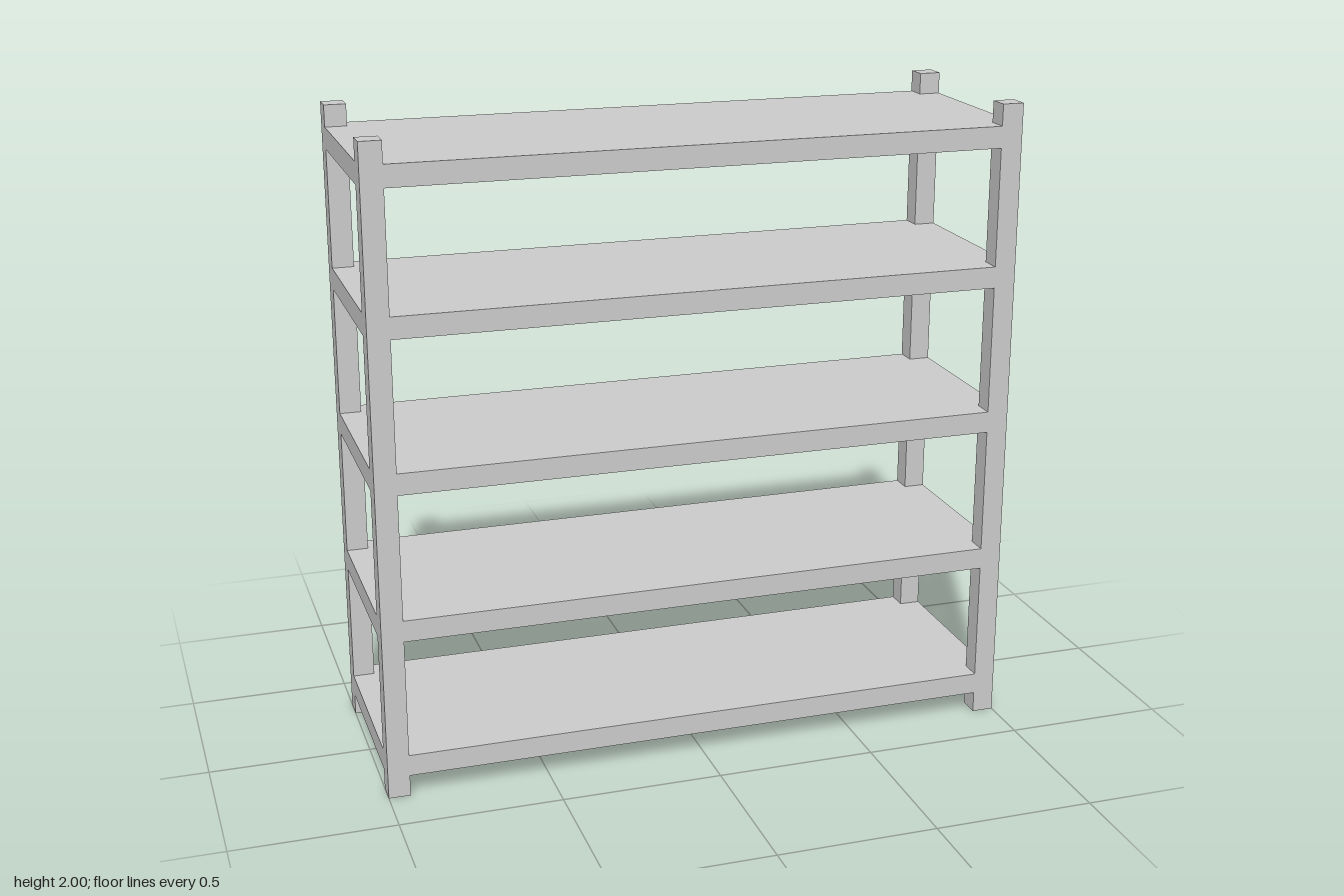
import * as THREE from 'three';

const W = 2, H = 2, D = 0.667, T = 0.067; // overall size and timber thickness
const SHELF_CENTRES = [0.1, 0.54, 1.0, 1.467, 1.9];

export function createModel() {
  const group = new THREE.Group();
  group.name = 'shelvingUnit';
  const material = new THREE.MeshStandardMaterial({ color: 0xcccccc, flatShading: true });

  // Four square corner posts
  const postGeometry = new THREE.BoxGeometry(T, H, T);
  for (const [sideName, sx] of [['Left', 1], ['Right', -1]]) {
    for (const [endName, sz] of [['front', 1], ['back', -1]]) {
      const post = new THREE.Mesh(postGeometry, material);
      post.name = `${endName}${sideName}Post`;
      post.position.set(sx * (W - T) / 2, H / 2, sz * (D - T) / 2);
      group.add(post);
    }
  }

  // Shelf board, notched at the corners to sit flush around the posts
  const x = W / 2, z = D / 2, xi = x - T, zi = z - T;
  const outline = new THREE.Shape([
    [-xi, -z], [xi, -z], [xi, -zi], [x, -zi], [x, zi], [xi, zi],
    [xi, z], [-xi, z], [-xi, zi], [-x, zi], [-x, -zi], [-xi, -zi],
  ].map(([px, pz]) => new THREE.Vector2(px, pz)));
  const shelfGeometry = new THREE.ExtrudeGeometry(outline, { depth: T, bevelEnabled: false });
  shelfGeometry.rotateX(-Math.PI / 2).translate(0, -T / 2, 0);

  SHELF_CENTRES.forEach((y, i) => {
    const shelf = new THREE.Mesh(shelfGeometry, material);
    shelf.name = `shelf${i + 1}`;
    shelf.position.y = y;
    group.add(shelf);
  });

  return group;
}
